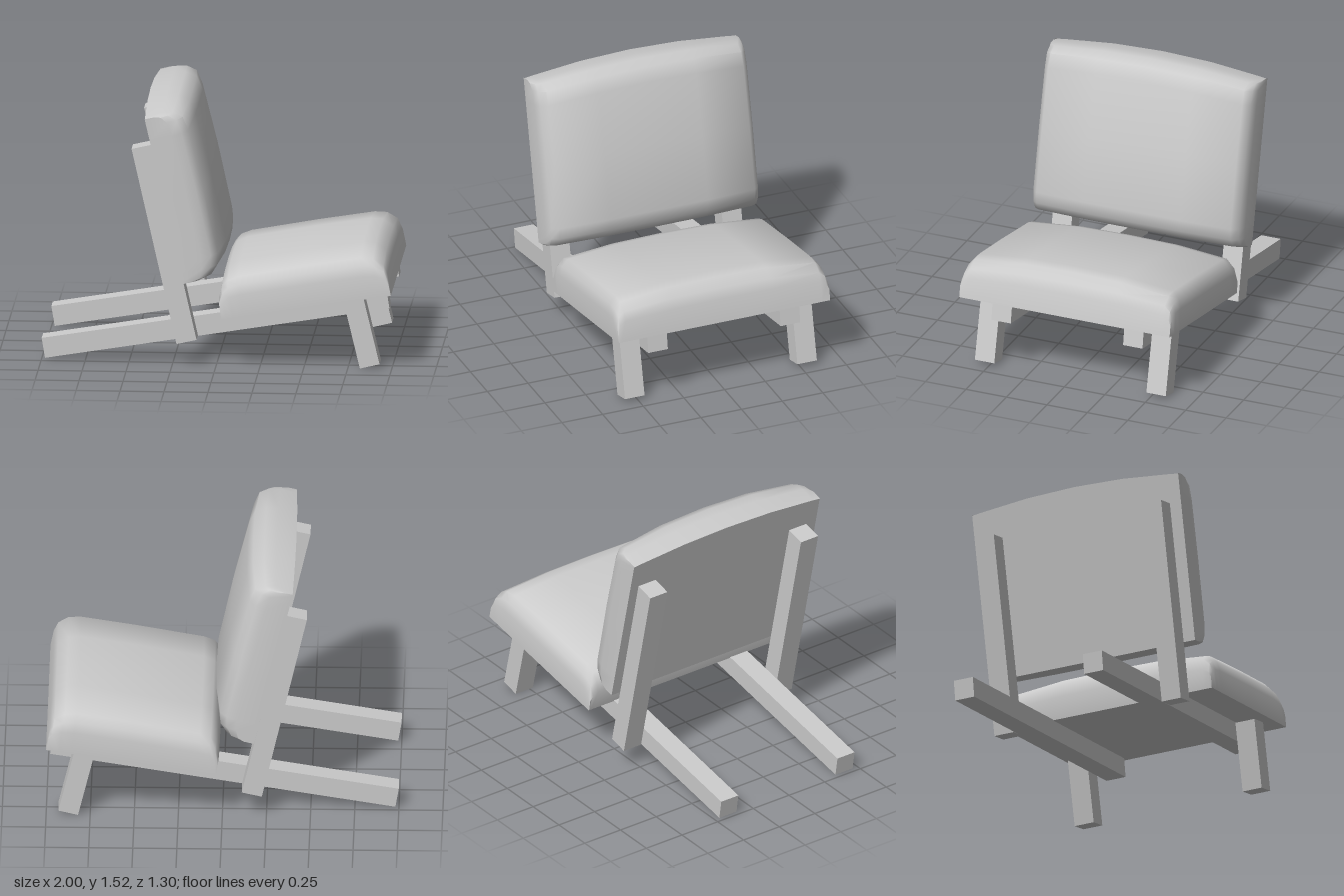
import * as THREE from 'three';
import { toCreasedNormals } from 'three/addons/utils/BufferGeometryUtils.js';

const material = new THREE.MeshStandardMaterial({ color: 0xcccccc });
const HALF_WIDTH = 0.65;

// Cross-sections over the width: [z, share of the full padding height]
const half = [[0.65, 0], [0.65, 0.5], [0.635, 0.72], [0.6, 0.87], [0.3, 0.98]];
const stations = [
  ...half.map(([z, s]) => [-z, s]),
  [0, 1],
  ...half.map(([z, s]) => [z, s]).reverse(),
];

// Padded cushion on a flat base: profile is [along, height], lofted over z.
// arch pulls the starting edge in towards the sides.
function cushionGeometry(profile, arch) {
  const length = profile[profile.length - 1][0];
  const point = (i, j) => {
    const [z, s] = stations[i];
    const [u, h] = profile[j];
    const pull = arch * (z / HALF_WIDTH) ** 2 * (1 - u / length);
    return [u + pull, h * s, z];
  };
  const positions = [];
  const n = profile.length;
  const last = stations.length - 2;
  for (let i = 0; i <= last; i++) {
    for (let j = 0; j < n; j++) {
      const k = (j + 1) % n;
      if (k === 0 && (i === 0 || i === last)) continue; // no base area here
      const a = point(i, j), b = point(i, k), c = point(i + 1, k), d = point(i + 1, j);
      positions.push(...a, ...d, ...c, ...a, ...c, ...b);
    }
  }
  const geometry = new THREE.BufferGeometry();
  geometry.setAttribute('position', new THREE.Float32BufferAttribute(positions, 3));
  return toCreasedNormals(geometry, 0.9);
}

function addCushion(group, name, profile, arch, x, y, angle) {
  const mesh = new THREE.Mesh(cushionGeometry(profile, arch), material);
  mesh.name = name;
  mesh.position.set(x, y, 0);
  mesh.rotation.z = angle;
  group.add(mesh);
}

// One beam on each side of the chair
function addBeamPair(group, name, width, height, x, y, z, angle) {
  for (const side of [1, -1]) {
    const mesh = new THREE.Mesh(new THREE.BoxGeometry(width, height, 0.12), material);
    mesh.name = name + (side > 0 ? 'Left' : 'Right');
    mesh.position.set(x, y, side * z - 0.007);
    mesh.rotation.z = angle;
    group.add(mesh);
  }
}

export function createModel() {
  const group = new THREE.Group();
  group.name = 'loungeChair';

  // Wooden frame: sloping rails, leaning back posts, short front legs
  addBeamPair(group, 'rail', 1.985, 0.117, -0.01, 0.228, 0.407, 0.161);
  addBeamPair(group, 'backPost', 0.117, 1.16, -0.295, 0.709, 0.528, 0.222);
  addBeamPair(group, 'frontLeg', 0.115, 0.402, 0.828, 0.213, 0.53, 0.235);

  // Seat cushion, from rear to front
  addCushion(group, 'seatCushion', [
    [0, 0], [-0.004, 0.132], [0.024, 0.209], [0.06, 0.244], [0.123, 0.259], [0.509, 0.267],
    [0.833, 0.266], [0.901, 0.25], [0.954, 0.2], [0.969, 0.138], [0.972, 0],
  ], 0, 0.04, 0.29, 0.16);

  // Back cushion, from top to bottom
  addCushion(group, 'backCushion', [
    [0, 0], [-0.005, 0.114], [0.006, 0.183], [0.045, 0.24], [0.13, 0.257], [0.5, 0.265],
    [0.89, 0.26], [0.958, 0.24], [1.007, 0.188], [1.02, 0.122], [1.02, 0],
  ], 0.045, -0.41, 1.49, -1.344);

  return group;
}
